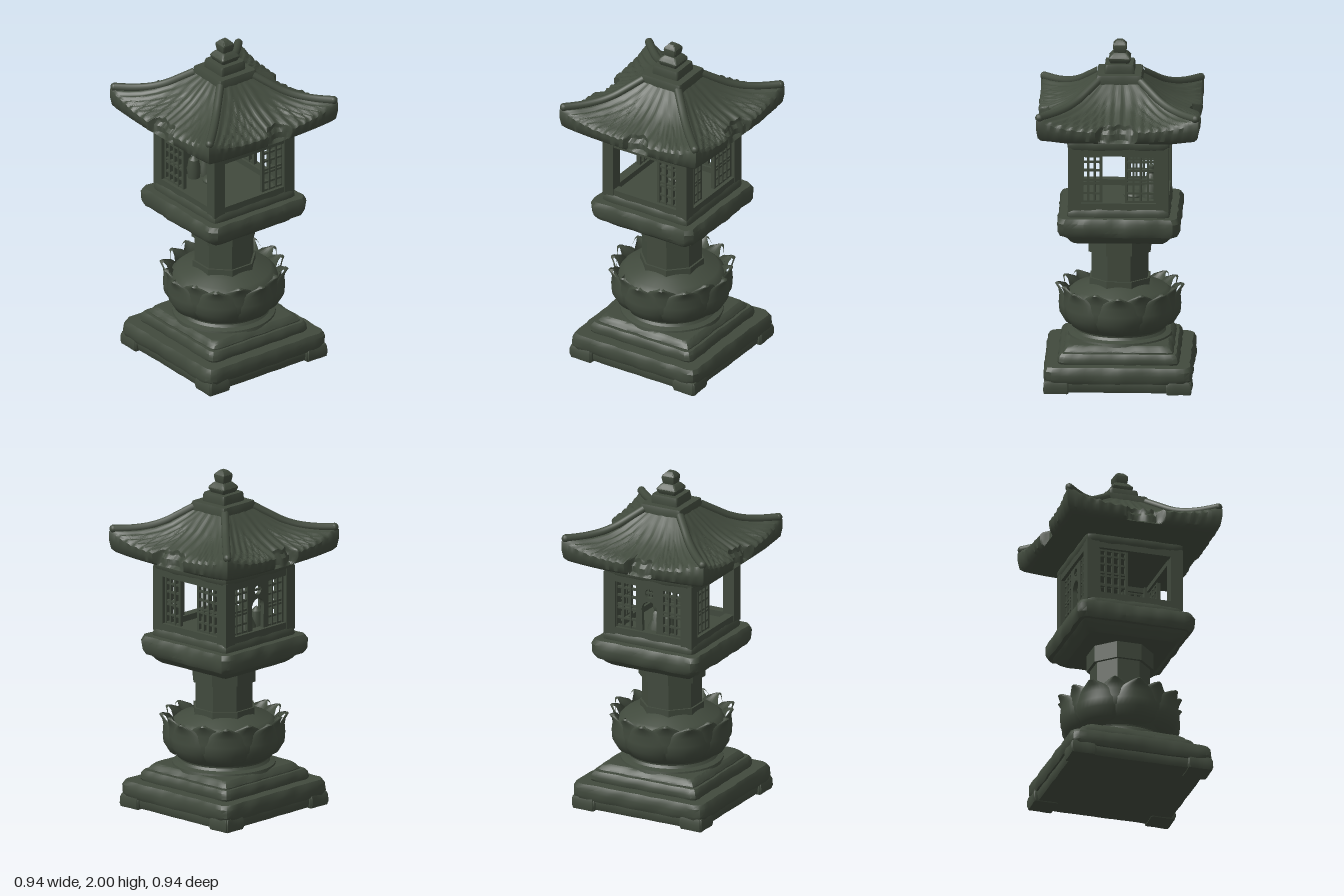
import * as THREE from 'three';
import { toCreasedNormals } from 'three/addons/utils/BufferGeometryUtils.js';

const stone = new THREE.MeshStandardMaterial({ color: 0x414a3d });
stone.name = 'mossy dark stone';

function add(parent, name, geo, x = 0, y = 0, z = 0) {
  const m = new THREE.Mesh(geo, stone);
  m.name = name;
  m.position.set(x, y, z);
  parent.add(m);
  return m;
}

const noise = (x, y, z) =>
  (Math.sin(x * 23 + y * 17 + 1) + Math.sin(z * 27 - y * 31 + x * 9) + Math.sin(x * 51 - z * 43 + 2)) / 3;

// Square stone slab with worn, slightly chipped edges and an optional taper
function slab(parent, name, bottom, top, y0, y1, wear = 0.006, z = 0) {
  const n = 18, h = y1 - y0;
  const g = new THREE.BoxGeometry(2, h, 2, n, 4, n);
  const p = g.attributes.position;
  for (let i = 0; i < p.count; i++) {
    let x = p.getX(i), y = p.getY(i), zz = p.getZ(i);
    const t = y / h + 0.5, half = bottom + (top - bottom) * t;
    const edge = (Math.abs(x) > 0.999) + (Math.abs(y) > h / 2 - 1e-4) + (Math.abs(zz) > 0.999);
    x *= half; zz *= half;
    const w = wear * noise(x, y + y0, zz);
    const k = 1 + (w * 0.6 - (edge > 1 ? wear * (edge - 1) : 0)) / half;
    p.setXYZ(i, x * k, y, zz * k);
  }
  return add(parent, name, toCreasedNormals(g, 0.6), 0, (y0 + y1) / 2, z);
}

const box = (parent, name, x0, x1, y0, y1, depth, z = 0) =>
  add(parent, name, new THREE.BoxGeometry(x1 - x0, y1 - y0, depth), (x0 + x1) / 2, (y0 + y1) / 2, z);

const lathe = (pts, n) =>
  toCreasedNormals(new THREE.LatheGeometry(pts.map(([r, y]) => new THREE.Vector2(r, y)), n), 0.6);

// Grid surface from a point function; columns run right, rows run up
function sheet(cols, rows, fn) {
  const pos = [], idx = [];
  for (let j = 0; j <= rows; j++)
    for (let i = 0; i <= cols; i++) pos.push(...fn(i / cols, j));
  for (let j = 0; j < rows; j++)
    for (let i = 0; i < cols; i++) {
      const a = j * (cols + 1) + i, b = a + cols + 1;
      idx.push(a, a + 1, b + 1, a, b + 1, b);
    }
  const g = new THREE.BufferGeometry();
  g.setAttribute('position', new THREE.Float32BufferAttribute(pos, 3));
  g.setIndex(idx);
  return toCreasedNormals(g, 0.7);
}

// Lotus petal: [radius, height, half angle] from root to curled tip
const petalRows = [[0.25, 0.3, 0.3], [0.315, 0.335, 0.38], [0.348, 0.39, 0.42], [0.352, 0.44, 0.41],
  [0.348, 0.49, 0.34], [0.355, 0.525, 0.22], [0.372, 0.55, 0.08], [0.365, 0.558, 0.03],
  [0.335, 0.54, 0.16], [0.315, 0.5, 0.3], [0.305, 0.45, 0.36]];
function petal(scale, lift) {
  return sheet(10, petalRows.length - 1, (u, j) => {
    const [r, y, w] = petalRows[j], s = u * 2 - 1, a = s * w;
    const rr = (r - 0.02 * s * s) * scale;
    return [Math.sin(a) * rr, y + lift, Math.cos(a) * rr];
  });
}

// Roof section: [half width, height mid-side, corner lift, rib depth]
const roofRows = [[0.26, 1.455, 0, 0], [0.3, 1.46, 0, 0], [0.4, 1.49, 0.01, 0], [0.44, 1.5, 0.015, 0],
  [0.458, 1.515, 0.02, 0], [0.467, 1.55, 0.04, 0], [0.467, 1.572, 0.065, 0.004], [0.455, 1.583, 0.07, 0.006],
  [0.41, 1.598, 0.055, 0.006], [0.36, 1.617, 0.04, 0.006], [0.3, 1.645, 0.025, 0.005], [0.24, 1.682, 0.015, 0.004],
  [0.18, 1.733, 0.007, 0.003], [0.12, 1.785, 0, 0]];
const notches = [[-0.11, 0.12], [-0.04, 0.13], [-0.12, 0.11], [-0.06, 0.13]];
function roofSide([n0, n1], k) {
  return sheet(110, roofRows.length - 1, (u, j) => {
    const [h, y, lift, rib] = roofRows[j], s = u * 2 - 1, x = s * h;
    const corner = Math.abs(s) ** 3, free = 1 - s ** 8;
    let z = h + 0.004 * noise(x * 2, k, y) * free * (j > 3 ? 1 : 0);
    // broken gap in the middle of the eave
    const inside = Math.min(x - n0, n1 - x) + 0.008 * Math.sin(x * 60 + k);
    if (j > 3 && inside > 0) {
      const limit = (j < 6 ? 0.425 : 0.405) + 0.012 * Math.sin(x * 45 + k * 2);
      z = Math.min(z, Math.max(limit, 0.467 - inside * 1.6));
    }
    const ribs = rib * Math.sin(x * 115 + Math.sin(x * 19 + k)) * free;
    return [x, y + lift * corner + ribs, z];
  });
}

// Window lattice between x0 and x1
function lattice(parent, x0, x1) {
  const g = new THREE.Group();
  g.name = 'windowLattice';
  const nv = Math.round((x1 - x0) / 0.042);
  for (let i = 0; i <= nv; i++) {
    const x = x0 + (x1 - x0) * i / nv, w = i % nv ? 0.006 : 0.008;
    box(g, 'latticeUpright', x - w, x + w, 1.09, 1.39, 0.022);
  }
  for (const y of [1.105, 1.155, 1.215, 1.235, 1.29, 1.34, 1.375])
    box(g, 'latticeRail', x0, x1, y - 0.006, y + 0.006, 0.018);
  parent.add(g);
}

export function createModel() {
  const root = new THREE.Group();
  root.name = 'stoneLantern';

  // Footed plinth and steps
  slab(root, 'plinthCore', 0.405, 0.41, 0.005, 0.07);
  slab(root, 'plinth', 0.43, 0.425, 0.06, 0.155, 0.012);
  for (const x of [-1, 1]) for (const z of [-1, 1]) {
    const foot = slab(root, 'plinthFoot', 0.075, 0.072, 0, 0.075, 0.006);
    foot.position.x = x * 0.352;
    foot.position.z = z * 0.352;
  }
  slab(root, 'lowerStep', 0.352, 0.342, 0.15, 0.215, 0.009);
  slab(root, 'upperStep', 0.325, 0.295, 0.21, 0.255, 0.008);
  add(root, 'lotusFoot', lathe([[0.3, 0.245], [0.295, 0.265], [0.265, 0.275], [0.255, 0.29], [0.26, 0.31], [0, 0.31]], 40));

  // Lotus bowl with two rings of petals
  add(root, 'lotusBowl', lathe([[0.2, 0.29], [0.26, 0.3], [0.315, 0.36], [0.325, 0.44], [0.305, 0.5],
    [0.27, 0.53], [0.2, 0.55], [0.17, 0.57], [0, 0.57]], 40));
  const outer = petal(1, -0.005), inner = petal(0.96, 0.005);
  for (let i = 0; i < 8; i++) {
    add(root, 'outerPetal', outer).rotation.y = i * Math.PI / 4;
    add(root, 'innerPetal', inner).rotation.y = (i + 0.5) * Math.PI / 4;
  }

  // Eight-sided column
  for (const [name, r, y0, y1] of [['columnFoot', 0.186, 0.545, 0.6], ['columnShaft', 0.174, 0.59, 0.77], ['columnHead', 0.192, 0.755, 0.87]])
    add(root, name, toCreasedNormals(new THREE.CylinderGeometry(r, r, y1 - y0, 8), 0.3), 0, (y0 + y1) / 2, 0)
      .rotation.y = Math.PI / 8;

  // Platform
  slab(root, 'platformTaper', 0.265, 0.325, 0.855, 0.92, 0.006);
  slab(root, 'platform', 0.35, 0.35, 0.91, 1.018, 0.014);

  // Light chamber
  slab(root, 'chamberSill', 0.298, 0.29, 1.01, 1.065);
  slab(root, 'chamberLintel', 0.288, 0.295, 1.41, 1.465);
  notches.forEach((n, k) => {
    const side = new THREE.Group();
    side.name = 'chamberSide';
    side.rotation.y = k * Math.PI / 2;
    box(side, 'cornerPost', 0.215, 0.288, 1.05, 1.43, 0.073, 0.2515);
    box(side, 'lowerRail', -0.22, 0.22, 1.05, 1.1, 0.055, 0.258);
    box(side, 'upperRail', -0.22, 0.22, 1.38, 1.43, 0.055, 0.258);
    const screens = new THREE.Group();
    screens.name = 'screens';
    screens.position.z = 0.255;
    [[[-0.21, -0.045]], [[0.08, 0.22]], [[-0.21, -0.1], [0.045, 0.21]], [[-0.22, -0.08], [0.08, 0.21]]][k]
      .forEach(([a, b]) => lattice(screens, a, b));
    side.add(screens);
    root.add(side);
    // Pierced panel in the middle of one wall
    if (k === 3) {
      const s = new THREE.Shape([[-0.085, 1.09], [0.085, 1.09], [0.085, 1.39], [-0.085, 1.39]].map(p => new THREE.Vector2(...p)));
      const arch = new THREE.Path();
      arch.moveTo(-0.045, 1.1).lineTo(0.045, 1.1).lineTo(0.05, 1.235).absarc(0, 1.235, 0.05, 0, Math.PI).lineTo(-0.045, 1.1);
      s.holes.push(arch, new THREE.Path().absarc(0, 1.335, 0.028, 0, Math.PI * 2, true));
      add(screens, 'piercedPanel', new THREE.ExtrudeGeometry(s, { depth: 0.025, bevelEnabled: false }), 0, 0, -0.012);
      box(screens, 'panelBar', -0.03, 0.03, 1.33, 1.34, 0.015);
    }
  });

  // Small seated figure and offering stone inside
  add(root, 'figure', lathe([[0, 1.06], [0.055, 1.06], [0.052, 1.11], [0.032, 1.15], [0.026, 1.19],
    [0.014, 1.205], [0.022, 1.225], [0.02, 1.25], [0, 1.262]], 20), -0.18, 0, 0);
  add(root, 'roundStone', lathe([[0.035, 1.06], [0.04, 1.12], [0.03, 1.18], [0, 1.21]], 16), -0.18, 0, 0.08);
  add(root, 'offeringStone', new THREE.SphereGeometry(0.06, 20, 12), -0.08, 1.07, 0.02).scale.y = 0.45;

  // Ribbed, upturned roof with broken eaves
  notches.forEach((n, k) => {
    add(root, 'roofSide', roofSide(n, k)).rotation.y = k * Math.PI / 2;
    const path = new THREE.CatmullRomCurve3(roofRows.slice(7).reverse()
      .map(([h, y, lift]) => new THREE.Vector3(h * 0.985, y + lift, h * 0.985)));
    const ridge = add(root, 'cornerRidge', new THREE.TubeGeometry(path, 20, 0.024, 10));
    ridge.rotation.y = k * Math.PI / 2;
    const cap = add(root, 'ridgeEnd', new THREE.SphereGeometry(0.024, 12, 8));
    cap.position.copy(path.getPoint(1)).applyAxisAngle(new THREE.Vector3(0, 1, 0), k * Math.PI / 2);
  });
  slab(root, 'ceiling', 0.27, 0.27, 1.45, 1.47);

  // Stepped finial
  for (const [name, a, b, y0, y1] of [['finialBase', 0.136, 0.13, 1.755, 1.818], ['finialStep', 0.088, 0.084, 1.81, 1.87],
    ['finialCollar', 0.05, 0.066, 1.865, 1.9], ['finialCollarTop', 0.066, 0.04, 1.898, 1.93],
    ['finialKnob', 0.034, 0.042, 1.925, 1.975], ['finialTip', 0.042, 0.018, 1.973, 2]])
    slab(root, name, a, b, y0, y1, 0.003, -0.006);
  return root;
}
